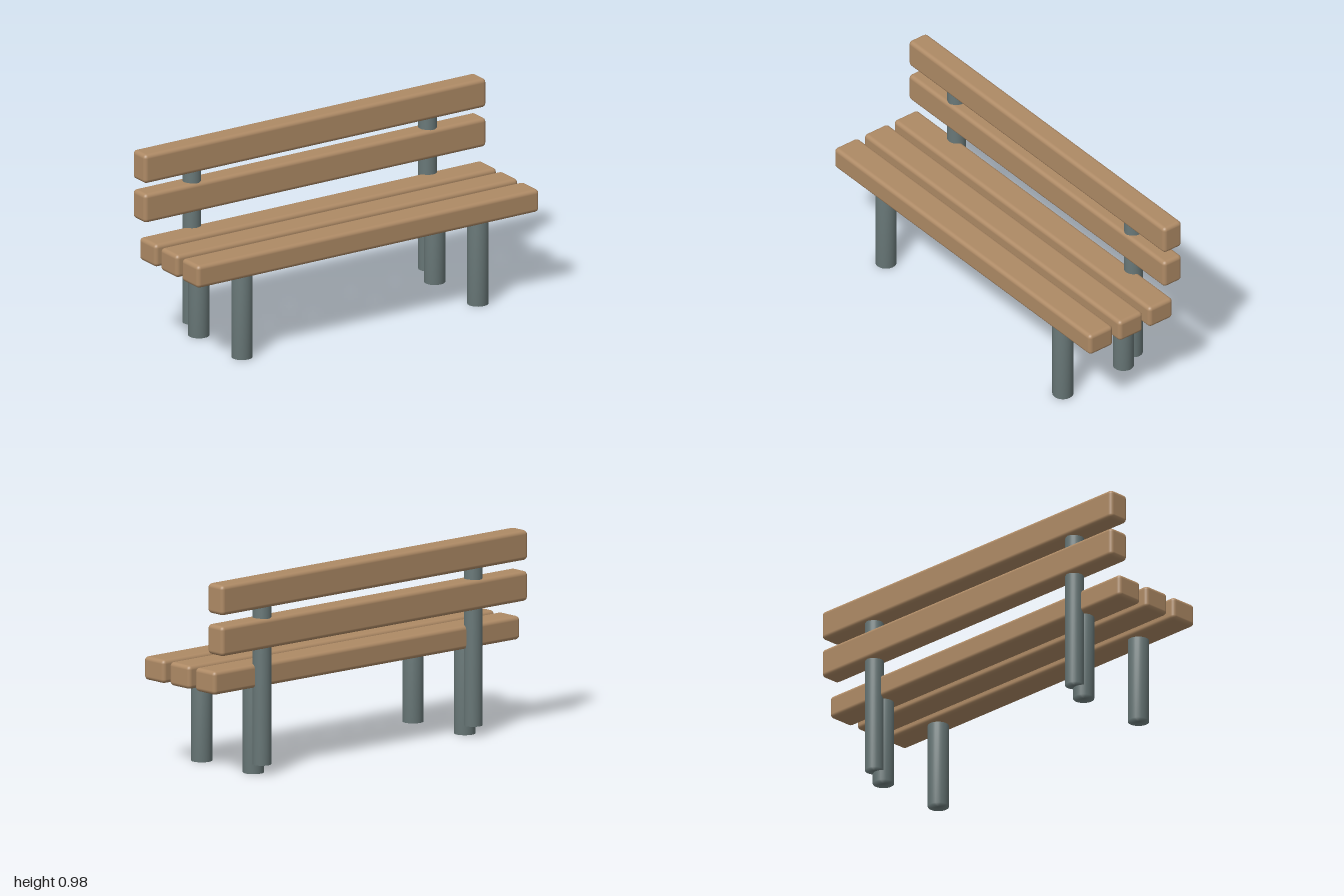
import * as THREE from 'three';
import { mergeVertices } from 'three/addons/utils/BufferGeometryUtils.js';
import { RoundedBoxGeometry } from 'three/addons/geometries/RoundedBoxGeometry.js';

export function createModel() {
  const bench = new THREE.Group();
  bench.name = 'bench';
  const wood = new THREE.MeshStandardMaterial({ name: 'wood', color: 0xae8a65 });
  const metal = new THREE.MeshStandardMaterial({ name: 'grey metal', color: 0x687777 });

  // Long plank with softened edges
  function plank(name, height, depth, y, z) {
    const mesh = new THREE.Mesh(new RoundedBoxGeometry(2, height, depth, 3, 0.02), wood);
    mesh.name = name;
    mesh.position.set(0, y, z);
    bench.add(mesh);
  }

  // Round post whose normals run smoothly over the end caps
  function post(name, radius, bottom, top, x, z) {
    let geometry = new THREE.CylinderGeometry(radius, radius, top - bottom, 24);
    geometry.deleteAttribute('uv');
    geometry.deleteAttribute('normal');
    geometry = mergeVertices(geometry);
    geometry.computeVertexNormals();
    const mesh = new THREE.Mesh(geometry, metal);
    mesh.name = name;
    mesh.position.set(x, (bottom + top) / 2, z);
    bench.add(mesh);
  }

  // Three seat planks
  [0.213, 0.028, -0.157].forEach((z, i) => plank(`seatPlank${i + 1}`, 0.116, 0.147, 0.49, z));

  // Two backrest planks
  [0.706, 0.909].forEach((y, i) => plank(`backPlank${i + 1}`, 0.148, 0.112, y, -0.231));

  // Legs and backrest posts on both sides
  for (const [side, x] of [['left', 0.69], ['right', -0.69]]) {
    post(`${side}FrontLeg`, 0.052, 0, 0.48, x, 0.208);
    post(`${side}BackLeg`, 0.052, 0, 0.48, x, -0.168);
    post(`${side}BackPost`, 0.046, 0.05, 0.92, x, -0.23);
  }
  return bench;
}
